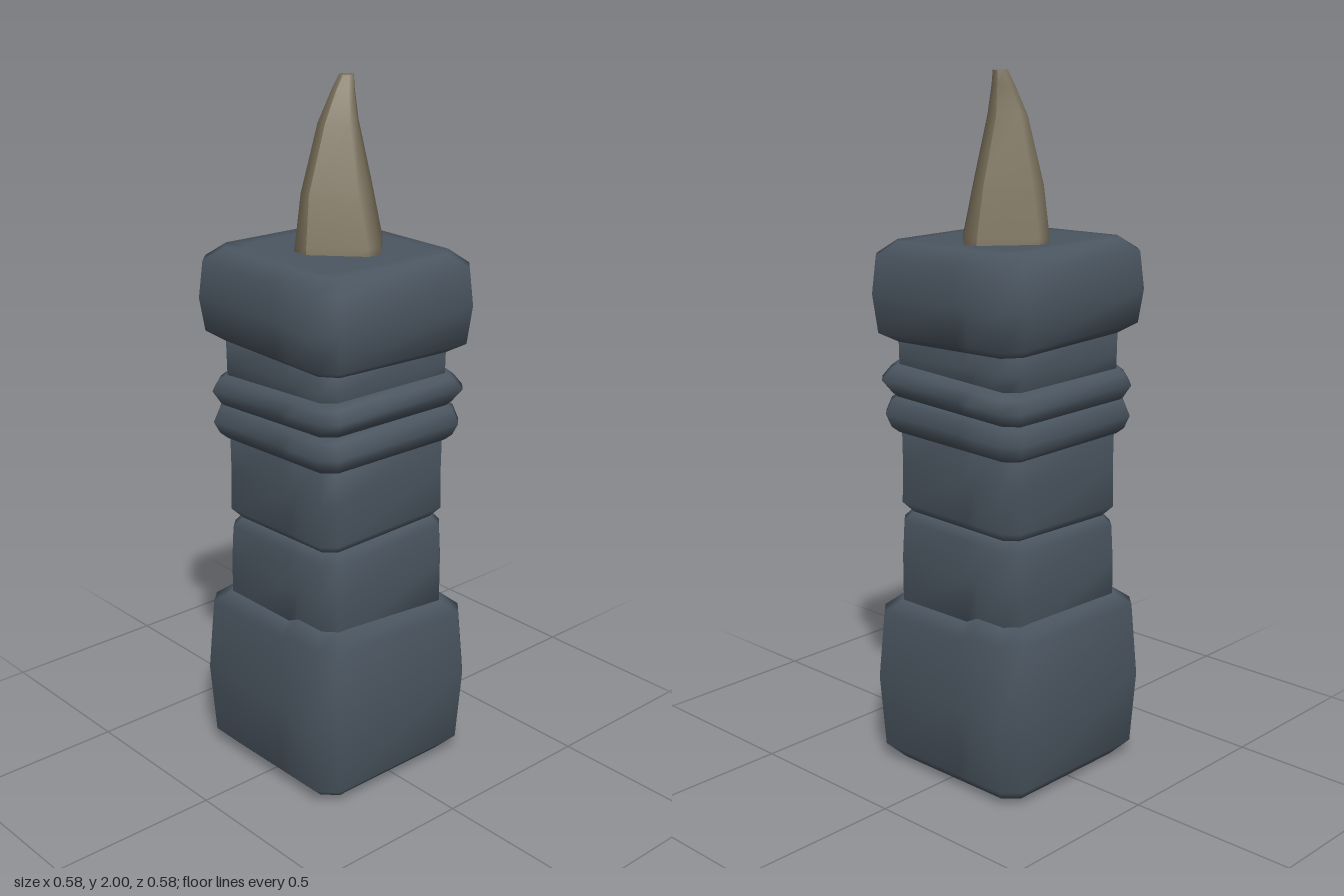
import * as THREE from 'three';

const stone = new THREE.MeshStandardMaterial({ color: 0x4b5661 });
stone.name = 'slate stone';
const bone = new THREE.MeshStandardMaterial({ color: 0x7d735e });
bone.name = 'weathered bone';

// Chamfered rectangle, counter-clockwise from above; the x sides carry two extra points each
function ring(x0, x1, z0, z1, c) {
  const zm = (z0 + z1) / 2, h = (z1 - z0) / 2, near = zm + h * 0.25, far = zm + h * 0.42;
  const a = Math.min(near, z1 - c), b = Math.min(far, z1 - c);
  const a2 = Math.max(2 * zm - near, z0 + c), b2 = Math.max(2 * zm - far, z0 + c);
  return [
    [x1, z1 - c], [x1, a2], [x1, b2], [x1, z0 + c], [x1 - c, z0], [x0 + c, z0],
    [x0, z0 + c], [x0, a], [x0, b], [x0, z1 - c], [x0 + c, z1], [x1 - c, z1],
  ];
}

// Skin through sections [y, x0, x1, z0, z1, chamfer], closed by smooth caps; warp may shift y
function loft(sections, warp = (x, y) => y) {
  const inset = (s) => {
    const d = Math.min(s[2] - s[1], s[4] - s[3]) * 0.09;
    return [s[0], s[1] + d, s[2] - d, s[3] + d, s[4] - d, s[5] * 0.8];
  };
  const all = [inset(sections[0]), ...sections, inset(sections[sections.length - 1])];
  const n = 12, pos = [], idx = [];
  for (const [y, x0, x1, z0, z1, c] of all)
    for (const [x, z] of ring(x0, x1, z0, z1, c)) pos.push(x, warp(x, y, z), z);
  for (let r = 0; r < all.length - 1; r++)
    for (let i = 0; i < n; i++) {
      const a = r * n + i, b = r * n + (i + 1) % n;
      idx.push(a, b, b + n, a, b + n, a + n);
    }
  // cap fans
  for (const [r, up] of [[0, false], [all.length - 1, true]]) {
    const s = all[r], x = (s[1] + s[2]) / 2, z = (s[3] + s[4]) / 2, k = pos.length / 3;
    pos.push(x, warp(x, s[0], z), z);
    for (let i = 0; i < n; i++) {
      const a = r * n + i, b = r * n + (i + 1) % n;
      if (up) idx.push(k, a, b); else idx.push(k, b, a);
    }
  }
  const g = new THREE.BufferGeometry();
  g.setAttribute('position', new THREE.Float32BufferAttribute(pos, 3));
  g.setIndex(idx);
  g.computeVertexNormals();
  return g;
}

// Square section centred on the axis, with optional offset
const sq = (y, h, c = 0.035, dx = 0, dz = 0) => [y, dx - h, dx + h, dz - h, dz + h, c];
const tilt = (kx, kz) => (x, y, z) => y + kx * x + kz * z;

export function createModel() {
  const group = new THREE.Group();
  const add = (name, material, sections, warp) => {
    const mesh = new THREE.Mesh(loft(sections, warp), material);
    mesh.name = name;
    group.add(mesh);
  };

  // Heavy foot block with a chipped upper edge on both sides
  add('footBlock', stone, [
    sq(0, 0.235, 0.04), sq(0.045, 0.278, 0.045), sq(0.26, 0.292, 0.05),
    sq(0.475, 0.277, 0.045), sq(0.51, 0.237, 0.04),
  ], (x, y, z) => {
    if (y < 0.45) return y;
    const raised = Math.abs(x) > 0.17 && z * Math.sign(x) < -0.09;
    return y - 0.03 * x + (raised ? 0.012 : -0.008);
  });

  // Shaft stones, meeting in a tilted groove
  add('lowerShaft', stone, [
    sq(0.47, 0.232), sq(0.62, 0.232), sq(0.725, 0.228), sq(0.755, 0.205, 0.03),
  ], tilt(0.025, 0.025));
  add('middleShaft', stone, [
    sq(0.752, 0.205, 0.03), sq(0.782, 0.231), sq(0.9, 0.229), sq(1.02, 0.23),
  ], tilt(0.02, 0.025));

  // Ridged bands
  add('lowerBand', stone, [
    sq(0.995, 0.235, 0.035), sq(1.01, 0.25, 0.035), sq(1.045, 0.264, 0.04, -0.004, 0.004),
    sq(1.085, 0.25, 0.035), sq(1.1, 0.235, 0.035),
  ], tilt(-0.01, 0.03));
  add('upperBand', stone, [
    sq(1.092, 0.235, 0.035), sq(1.105, 0.247, 0.035), sq(1.14, 0.268, 0.04, 0.002, 0.003),
    sq(1.172, 0.25, 0.035), sq(1.188, 0.235, 0.035),
  ], tilt(-0.01, 0.05));
  add('neck', stone, [sq(1.15, 0.232), sq(1.22, 0.233), sq(1.3, 0.234)]);

  // Capital block
  add('capital', stone, [
    sq(1.27, 0.235, 0.04), sq(1.298, 0.278, 0.045), sq(1.4, 0.291, 0.05),
    sq(1.505, 0.28, 0.045), sq(1.543, 0.236, 0.04),
  ], (x, y, z) => y + (y < 1.35 ? -0.03 * x - 0.02 * z : -0.008 * x - 0.012 * z));

  // Curved horn with a diamond cross-section
  add('horn', bone, [
    [1.5, -0.12, 0.172, -0.165, 0.133, 0.122],
    [1.56, -0.114, 0.164, -0.158, 0.125, 0.118],
    [1.7, -0.09, 0.14, -0.135, 0.085, 0.093],
    [1.88, -0.025, 0.096, -0.094, 0.03, 0.047],
    [1.96, 0.022, 0.09, -0.07, -0.002, 0.024],
    [2.0, 0.05, 0.09, -0.058, -0.018, 0.012],
  ]);
  return group;
}
